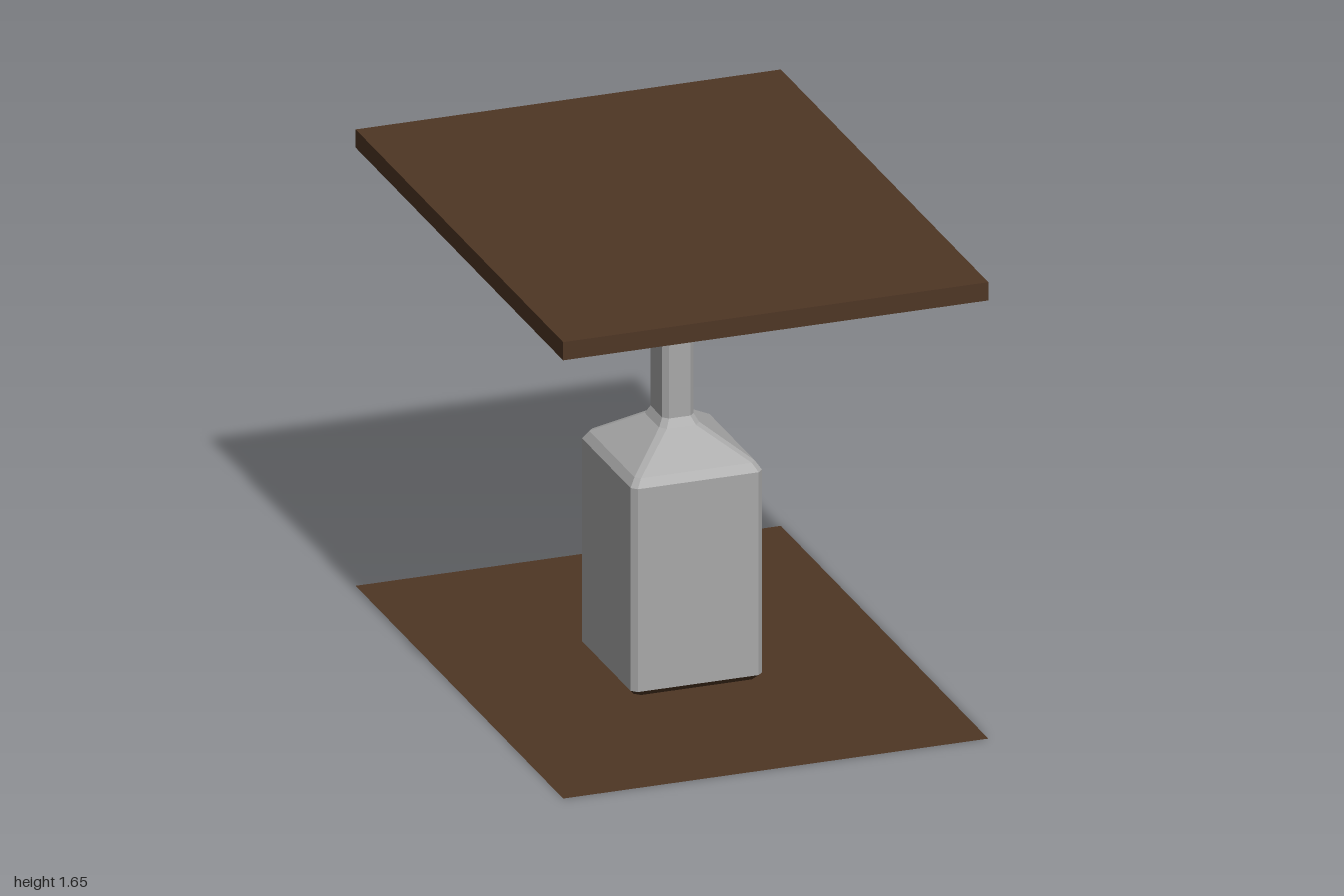
import * as THREE from 'three';

const steel = new THREE.MeshStandardMaterial({ color: 0xa8a8a8 });
steel.name = 'greySteel';
const wood = new THREE.MeshStandardMaterial({ color: 0x4e3624 });
wood.name = 'darkWood';
const sheetWood = wood.clone();
sheetWood.side = THREE.DoubleSide;

// Rectangle with cut corners; hx, hz are half sizes, c the corner cut
function ring([y, hx, hz, c]) {
  return [
    [hx - c, y, hz], [hx, y, hz - c], [hx, y, c - hz], [hx - c, y, -hz],
    [c - hx, y, -hz], [-hx, y, c - hz], [-hx, y, hz - c], [c - hx, y, hz],
  ];
}

// Faceted skin through a stack of cut-corner rectangles
function loft(sections) {
  const rings = sections.map(ring);
  const pos = [];
  for (let i = 0; i < rings.length - 1; i++) {
    for (let k = 0; k < 8; k++) {
      const n = (k + 1) % 8;
      const a = rings[i][k], b = rings[i][n], c = rings[i + 1][n], d = rings[i + 1][k];
      pos.push(...a, ...b, ...c, ...a, ...c, ...d);
    }
  }
  const geo = new THREE.BufferGeometry();
  geo.setAttribute('position', new THREE.Float32BufferAttribute(pos, 3));
  geo.computeVertexNormals();
  return geo;
}

export function createModel() {
  const group = new THREE.Group();
  group.name = 'pedestalTable';
  const add = (name, geo, mat, y = 0) => {
    const mesh = new THREE.Mesh(geo, mat);
    mesh.name = name;
    mesh.position.y = y;
    group.add(mesh);
    return mesh;
  };

  // Table top
  add('tableTop', new THREE.BoxGeometry(1.52, 0.066, 2), wood, 1.621);

  // Flat floor sheet, same outline as the top
  const sheet = add('floorSheet', new THREE.PlaneGeometry(1.52, 2), sheetWood);
  sheet.rotation.x = -Math.PI / 2;

  // Dark chamfer under the pedestal
  const foot = [0.02, 0.235, 0.253, 0.019];
  add('footChamfer', loft([[0, 0.217, 0.235, 0.019], foot]), wood);

  // Steel body, sloped shoulder and neck
  const neckTop = [1.568, 0.056, 0.074, 0.018];
  add('pedestal', loft([
    foot,
    [0.755, 0.235, 0.253, 0.019],
    [0.785, 0.215, 0.235, 0.017],
    [0.888, 0.072, 0.09, 0.02],
    [0.917, 0.056, 0.074, 0.018],
    neckTop,
  ]), steel);

  // Dark flare where the neck meets the top
  add('neckFlare', loft([neckTop, [1.588, 0.075, 0.094, 0.018]]), wood);

  return group;
}
